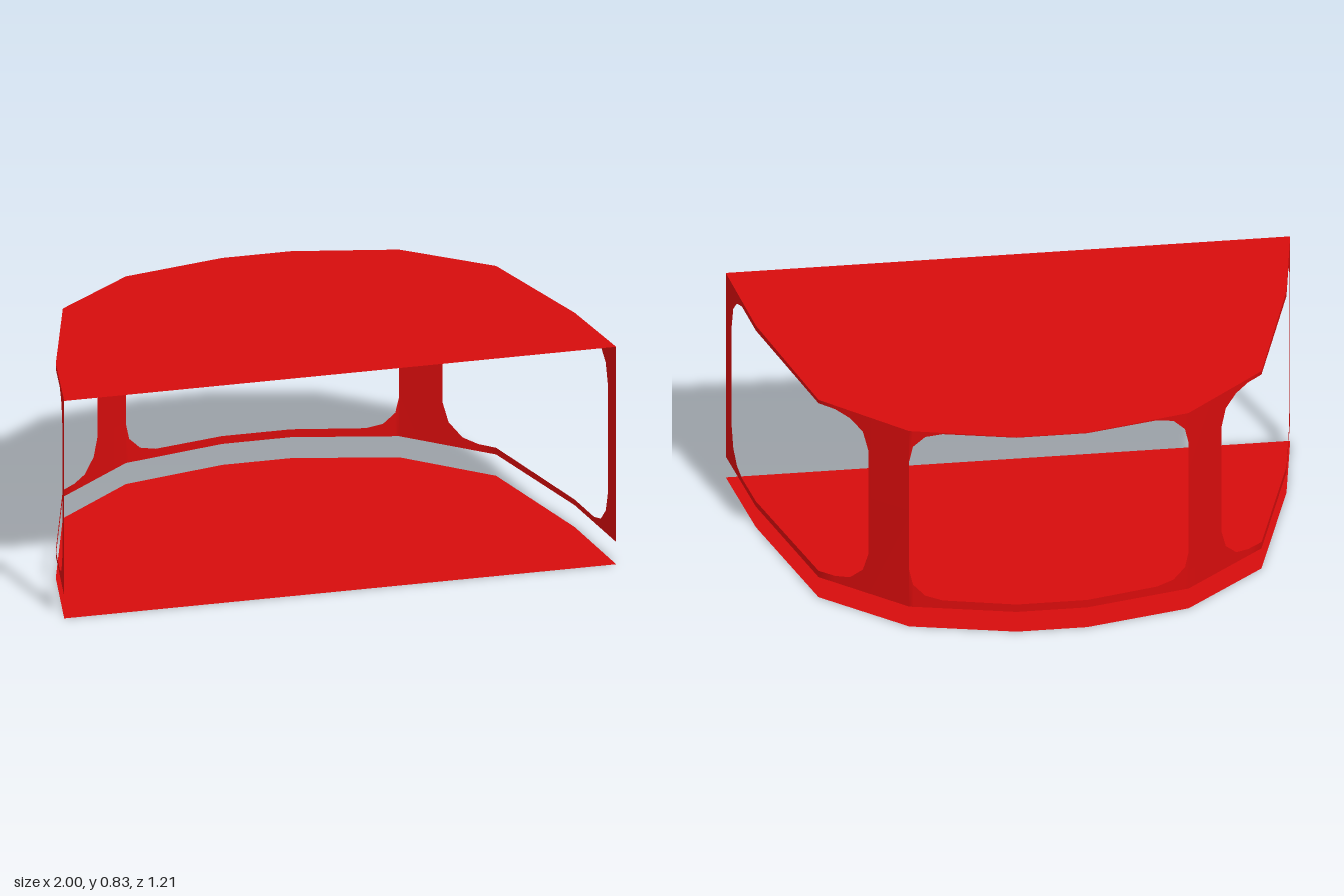
import * as THREE from 'three';
import { mergeVertices } from 'three/addons/utils/BufferGeometryUtils.js';

const red = new THREE.MeshStandardMaterial({ color: 0xd60c0c, side: THREE.DoubleSide });
red.name = 'red';

// Left half of the plan outline [x, z], from the front corner to the back
const half = [[1, 0.6], [0.94, 0.24], [0.785, -0.275], [0.495, -0.52], [0.125, -0.605]];
const mirrorX = (list) => [...list, ...list.slice().reverse().map(([x, ...rest]) => [-x, ...rest])];

const roofY = (z) => 0.81 + 0.0333 * z;
const baseY = (z) => 0.0825 + 0.004 * z;

// Plan point on the half outline where axis (0 = x, 1 = z) has the given value
function planAt(axis, v) {
  for (let i = 0; i < half.length - 1; i++) {
    const a = half[i], b = half[i + 1];
    if (v <= a[axis] + 1e-6 && v >= b[axis] - 1e-6) {
      const t = (a[axis] - v) / (a[axis] - b[axis]);
      return [a[0] + t * (b[0] - a[0]), a[1] + t * (b[1] - a[1])];
    }
  }
  return half[half.length - 1];
}

// Flat sheet filling the outline, raised to a height that depends on z
function sheet(name, height) {
  const shape = new THREE.Shape(mirrorX(half).map(([x, z]) => new THREE.Vector2(x, -z)));
  const geo = new THREE.ShapeGeometry(shape).rotateX(-Math.PI / 2);
  const p = geo.attributes.position;
  for (let i = 0; i < p.count; i++) p.setY(i, height(p.getZ(i)));
  geo.computeVertexNormals();
  const mesh = new THREE.Mesh(geo, red);
  mesh.name = name;
  return mesh;
}

// Wall that follows the outline, with three round-cornered openings
function wall() {
  // [z, bottom of opening, top of opening]; equal values are solid wall
  const side = [
    [0.6, 0.45, 0.45], [0.53, 0.45, 0.45],
    [0.53, 0.25, 0.65], [0.51, 0.17, 0.735], [0.467, 0.122, 0.78], [0.408, 0.105, 0.802],
    [0.24, 0.105, 0.798], [-0.275, 0.107, 0.787],
    [-0.32, 0.108, 0.785], [-0.36, 0.122, 0.768], [-0.395, 0.17, 0.73], [-0.41, 0.24, 0.66],
    [-0.41, 0.45, 0.45], [-0.52, 0.45, 0.45],
  ];
  // [x, bottom of opening, top of opening]
  const back = [
    [0.495, 0.23, 0.67], [0.482, 0.17, 0.73], [0.44, 0.128, 0.772], [0.38, 0.112, 0.787],
    [0.125, 0.11, 0.787],
  ];
  const columns = mirrorX([
    ...side.map(([z, lo, hi]) => [...planAt(1, z), lo, hi]),
    ...back.map(([x, lo, hi]) => [...planAt(0, x), lo, hi]),
  ]);

  const pos = [];
  const quad = (a, b, c, d) => pos.push(...a, ...b, ...c, ...a, ...c, ...d);
  for (let i = 0; i < columns.length - 1; i++) {
    const [x0, z0, lo0, hi0] = columns[i];
    const [x1, z1, lo1, hi1] = columns[i + 1];
    if (Math.hypot(x1 - x0, z1 - z0) < 1e-5) continue;
    quad([x0, baseY(z0), z0], [x1, baseY(z1), z1], [x1, lo1, z1], [x0, lo0, z0]);
    quad([x0, hi0, z0], [x1, hi1, z1], [x1, roofY(z1), z1], [x0, roofY(z0), z0]);
  }
  let geo = new THREE.BufferGeometry();
  geo.setAttribute('position', new THREE.Float32BufferAttribute(pos, 3));
  geo = mergeVertices(geo);
  geo.computeVertexNormals();
  const mesh = new THREE.Mesh(geo, red);
  mesh.name = 'windowFrame';
  return mesh;
}

export function createModel() {
  const model = new THREE.Group();
  model.name = 'canopy';
  model.add(sheet('roof', roofY), sheet('floor', () => 0), wall());
  return model;
}
